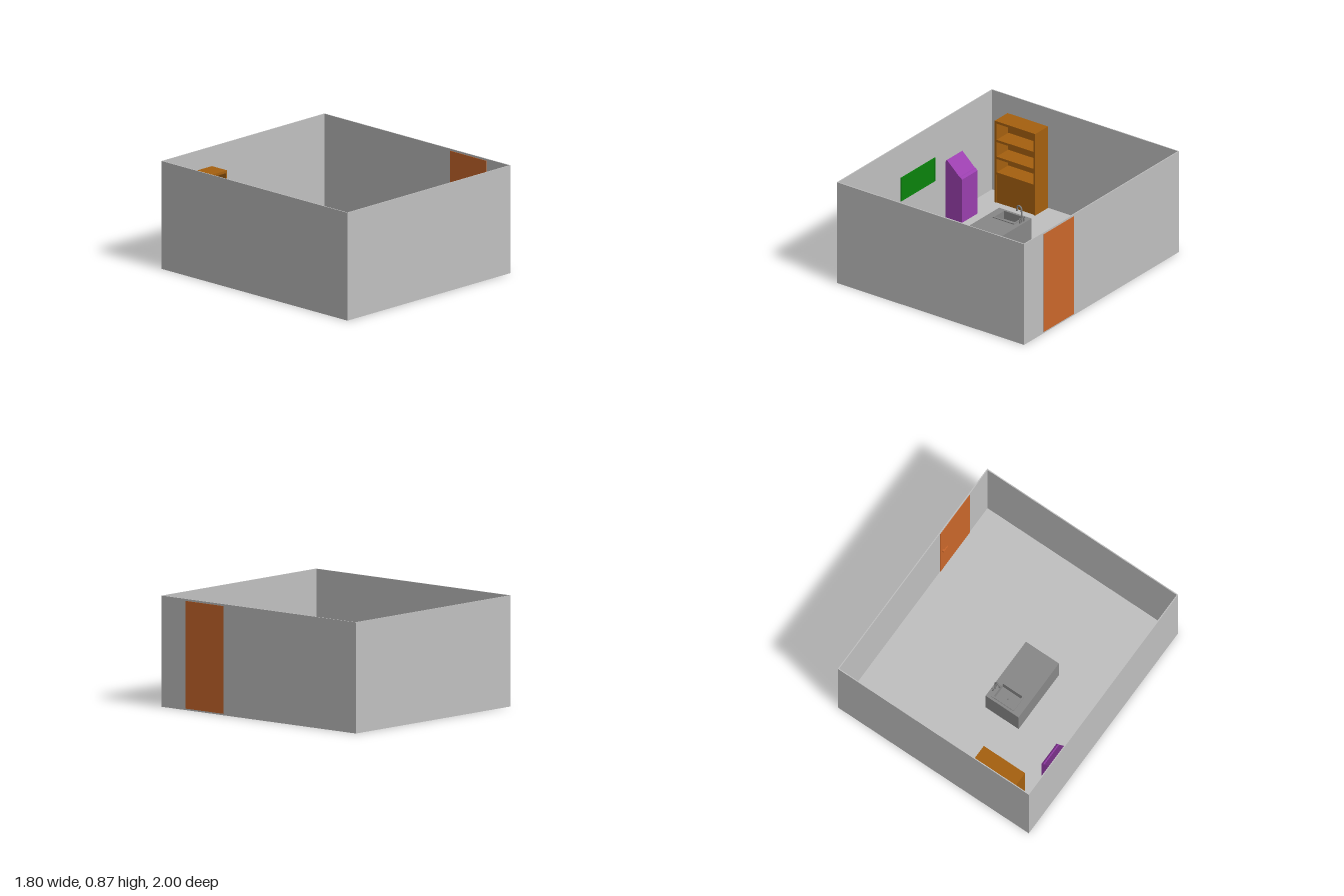
import * as THREE from 'three';

const mat = (name, color) => {
  const m = new THREE.MeshStandardMaterial({ color });
  m.name = name;
  return m;
};

export function createModel() {
  const grey = mat('wall grey', 0xc0c0c0);
  const counterGrey = mat('counter grey', 0x888888);
  const steel = mat('steel grey', 0x808080);
  const orange = mat('door orange', 0xca672b);
  const brown = mat('wood brown', 0xa5600f);
  const purple = mat('lectern purple', 0x9a3fae);
  const green = mat('board green', 0x0a820c);
  const model = new THREE.Group();
  model.name = 'classroom';

  const group = (name) => {
    const g = new THREE.Group();
    g.name = name;
    model.add(g);
    return g;
  };
  const add = (parent, name, geometry, material) => {
    const m = new THREE.Mesh(geometry, material);
    m.name = name;
    parent.add(m);
    return m;
  };
  // box given by its minimum and maximum on each axis
  const box = (parent, name, material, x0, x1, y0, y1, z0, z1) => {
    const m = add(parent, name, new THREE.BoxGeometry(x1 - x0, y1 - y0, z1 - z0), material);
    m.position.set((x0 + x1) / 2, (y0 + y1) / 2, (z0 + z1) / 2);
    return m;
  };
  const rect = (Type, x0, x1, z0, z1) => new Type(
    [[x0, -z1], [x1, -z1], [x1, -z0], [x0, -z0]].map(([x, y]) => new THREE.Vector2(x, y)));
  // horizontal slab with a rectangular opening
  const frame = (parent, name, material, outer, inner, y0, y1) => {
    const shape = rect(THREE.Shape, ...outer);
    shape.holes.push(rect(THREE.Path, ...inner));
    const g = new THREE.ExtrudeGeometry(shape, { depth: y1 - y0, bevelEnabled: false });
    g.rotateX(-Math.PI / 2).translate(0, y0, 0);
    return add(parent, name, g, material);
  };

  // room shell, open above
  const room = group('room');
  box(room, 'floor', grey, -0.897, 0.897, 0, 0.01, -1, 1);
  frame(room, 'walls', grey, [-0.897, 0.897, -1, 1], [-0.889, 0.889, -0.992, 0.992], 0.01, 0.865);

  // door with lever handle on the inside
  const door = group('door');
  box(door, 'doorPanel', orange, 0.885, 0.9, 0.012, 0.85, 0.36, 0.75);
  box(door, 'handleStem', orange, 0.87, 0.885, 0.43, 0.445, 0.378, 0.392);
  box(door, 'handleLever', orange, 0.867, 0.875, 0.43, 0.445, 0.378, 0.435);

  // wall board with a thin frame
  const board = group('board');
  box(board, 'boardPanel', green, -0.89, -0.885, 0.38, 0.58, -0.25, 0.19);
  for (const [y0, y1] of [[0.38, 0.387], [0.573, 0.58]])
    box(board, 'boardRail', green, -0.89, -0.881, y0, y1, -0.25, 0.19);
  for (const [z0, z1] of [[-0.25, -0.243], [0.183, 0.19]])
    box(board, 'boardStile', green, -0.89, -0.881, 0.387, 0.573, z0, z1);

  // bookcase: closed base, open shelves above
  const bookcase = group('bookcase');
  const [bx0, bx1, bz0, bz1] = [-0.74, -0.352, -0.99, -0.825];
  box(bookcase, 'back', brown, bx0, bx1, 0.01, 0.71, bz0, bz0 + 0.012);
  box(bookcase, 'leftSide', brown, bx1 - 0.016, bx1, 0.01, 0.69, bz0 + 0.012, bz1);
  box(bookcase, 'rightSide', brown, bx0, bx0 + 0.016, 0.01, 0.69, bz0 + 0.012, bz1);
  box(bookcase, 'top', brown, bx0, bx1, 0.69, 0.71, bz0 + 0.012, bz1);
  for (const y of [0.25, 0.385, 0.53])
    box(bookcase, 'shelf', brown, bx0 + 0.016, bx1 - 0.016, y, y + 0.02, bz0 + 0.012, bz1 - 0.003);
  box(bookcase, 'baseCabinet', brown, bx0 + 0.016, bx1 - 0.016, 0.01, 0.25, bz0 + 0.012, bz1 - 0.006);

  // lectern with a sloping top and a small lip
  const lectern = group('lectern');
  const profile = new THREE.Shape([
    [-0.895, 0.01], [-0.73, 0.01], [-0.73, 0.38], [-0.745, 0.395],
    [-0.755, 0.397], [-0.875, 0.507], [-0.885, 0.497], [-0.895, 0.42],
  ].map(([x, y]) => new THREE.Vector2(x, y)));
  const body = new THREE.ExtrudeGeometry(profile, { depth: 0.2, bevelEnabled: false });
  add(lectern, 'lecternBody', body, purple).position.z = -0.59;

  // island counter
  const island = group('island');
  const outer = [-0.345, -0.035, -0.35, 0.19];
  const basin = [-0.272, -0.09, -0.317, -0.195];
  box(island, 'islandBody', counterGrey, -0.345, -0.035, 0.01, 0.205, -0.35, 0.19);
  frame(island, 'countertop', counterGrey, outer, basin, 0.205, 0.27);

  // sink rim and basin floor
  const sink = group('sink');
  frame(sink, 'sinkRim', counterGrey, [-0.285, -0.078, -0.33, -0.182], basin, 0.27, 0.278);
  box(sink, 'sinkFloor', counterGrey, -0.272, -0.09, 0.205, 0.21, -0.317, -0.195);
  const drain = add(sink, 'drain', new THREE.CylinderGeometry(0.008, 0.008, 0.003, 16), steel);
  drain.position.set(-0.18, 0.2115, -0.256);

  // faucet with curved neck and two taps
  const faucet = group('faucet');
  const neck = new THREE.CatmullRomCurve3([
    [-0.06, 0.27], [-0.06, 0.36], [-0.065, 0.39], [-0.082, 0.402], [-0.098, 0.392], [-0.102, 0.365],
  ].map(([x, y]) => new THREE.Vector3(x, y, -0.256)));
  add(faucet, 'neck', new THREE.TubeGeometry(neck, 24, 0.007, 10), steel);
  const tip = add(faucet, 'spoutTip', new THREE.CylinderGeometry(0.008, 0.008, 0.012, 12), steel);
  tip.position.set(-0.102, 0.361, -0.256);
  for (const side of [-1, 1]) {
    const z = -0.256 + side * 0.024;
    const stem = add(faucet, 'tapStem', new THREE.CylinderGeometry(0.006, 0.008, 0.03, 12), steel);
    stem.position.set(-0.056, 0.285, z);
    box(faucet, 'tapBar', steel, -0.07, -0.042, 0.3, 0.306, z - 0.003, z + 0.003);
    box(faucet, 'tapCrossBar', steel, -0.059, -0.053, 0.3, 0.306, z - 0.012, z + 0.012);
  }
  return model;
}
